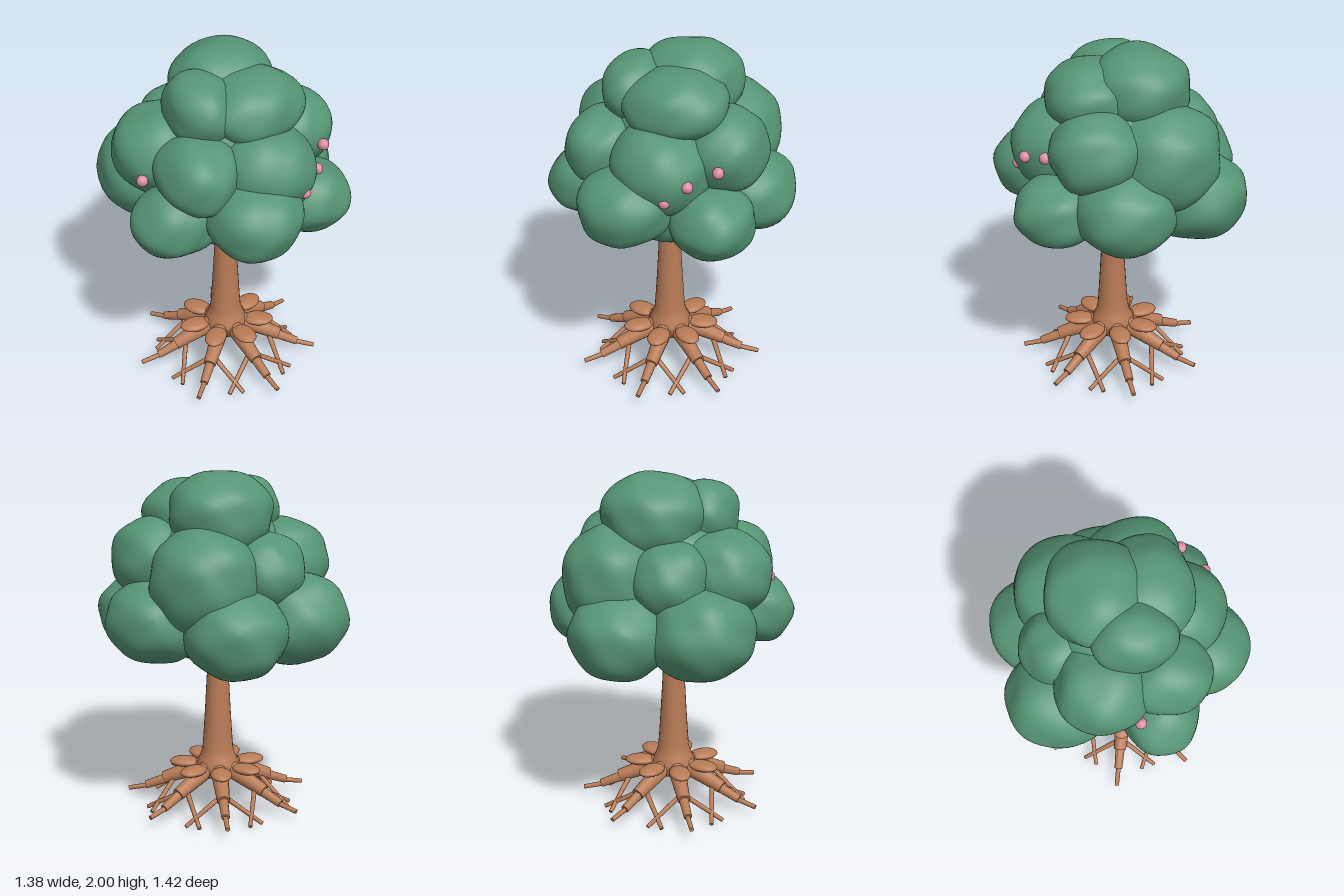
import * as THREE from 'three';
import { mergeVertices } from 'three/addons/utils/BufferGeometryUtils.js';

const leafGreen = new THREE.MeshStandardMaterial({ name: 'leafGreen', color: 0x569575 });
const barkBrown = new THREE.MeshStandardMaterial({ name: 'barkBrown', color: 0xb87b56 });
const blossomPink = new THREE.MeshStandardMaterial({ name: 'blossomPink', color: 0xdc8ca4 });

function add(parent, name, geometry, material) {
  const mesh = new THREE.Mesh(geometry, material);
  mesh.name = name;
  parent.add(mesh);
  return mesh;
}

// Tapered rod between two points
function rod(parent, name, from, to, r0, r1, sides = 12) {
  const a = new THREE.Vector3(...from), b = new THREE.Vector3(...to);
  const dir = b.clone().sub(a);
  const mesh = add(parent, name, new THREE.CylinderGeometry(r1, r0, dir.length(), sides), barkBrown);
  mesh.position.copy(a).add(b).multiplyScalar(0.5);
  mesh.quaternion.setFromUnitVectors(new THREE.Vector3(0, 1, 0), dir.normalize());
}

// Lumpy rounded ellipsoid
function clumpGeometry(radii, seed) {
  let geo = new THREE.IcosahedronGeometry(1, 8);
  geo.deleteAttribute('normal');
  geo.deleteAttribute('uv');
  geo = mergeVertices(geo, 1e-4);
  const pos = geo.attributes.position, v = new THREE.Vector3();
  for (let i = 0; i < pos.count; i++) {
    v.fromBufferAttribute(pos, i);
    const boxy = Math.pow(Math.abs(v.x) ** 2.1 + Math.abs(v.y) ** 2.1 + Math.abs(v.z) ** 2.1, -1 / 2.1);
    const lumps = 0.018 * Math.sin(3.1 * v.x + 2 * v.y + seed * 1.7)
      + 0.018 * Math.sin(4.6 * v.z - 3.3 * v.x + seed * 2.9)
      + 0.018 * Math.sin(6.2 * v.y + 4 * v.z + seed * 4.1)
      + 0.014 * Math.sin(7.5 * v.x - 5 * v.y + seed * 5.3);
    v.multiplyScalar(boxy * (0.99 + lumps));
    pos.setXYZ(i, v.x * radii[0], v.y * radii[1], v.z * radii[2]);
  }
  geo.computeVertexNormals();
  return geo;
}

export function createModel() {
  const tree = new THREE.Group();
  tree.name = 'tree';

  // Trunk, branches and roots share one axis
  const wood = new THREE.Group();
  wood.name = 'wood';
  wood.position.set(-0.025, 0, 0.035);
  tree.add(wood);

  const profile = [[0, 0.18], [0.13, 0.2], [0.125, 0.26], [0.105, 0.3], [0.09, 0.35], [0.083, 0.45],
    [0.074, 0.6], [0.066, 0.75], [0.06, 0.88], [0.055, 1.15], [0, 1.15]]
    .map(p => new THREE.Vector2(...p));
  add(wood, 'trunk', new THREE.LatheGeometry(profile, 24), barkBrown);

  for (let i = 0; i < 4; i++) {
    const a = i * Math.PI / 2, c = Math.cos(a), s = Math.sin(a);
    rod(wood, 'branch', [c * 0.02, 0.85, s * 0.02], [c * 0.15, 1.1, s * 0.15], 0.046, 0.036);
  }

  // Seven roots, the first one pointing forward
  for (let i = 0; i < 7; i++) {
    const root = new THREE.Group();
    root.name = 'root';
    root.rotation.y = -Math.PI / 2 + i * Math.PI * 2 / 7;
    wood.add(root);
    // Flat knuckle over the root, then three shrinking lengths
    const knuckle = add(root, 'rootKnuckle', new THREE.SphereGeometry(1, 20, 12), barkBrown);
    knuckle.scale.set(0.09, 0.028, 0.062);
    knuckle.position.set(0.195, 0.252, 0);
    rod(root, 'rootBase', [0.05, 0.25, 0], [0.32, 0.142, 0], 0.055, 0.037);
    rod(root, 'rootMiddle', [0.28, 0.15, 0], [0.43, 0.09, 0], 0.03, 0.024);
    rod(root, 'rootTip', [0.4, 0.092, 0], [0.535, 0.064, 0], 0.015, 0.013);
    // Side rootlets reaching the ground and crossing their neighbours
    for (const side of [-1, 1]) {
      rod(root, 'rootlet', [0.26, 0.145, side * 0.01], [0.36, 0.012, side * 0.22], 0.015, 0.012, 8);
    }
  }

  // Foliage clumps: centre, radii
  const clumps = [
    [[-0.2, 1.75, 0.05], [0.19, 0.2, 0.23]],
    [[0.05, 1.77, -0.11], [0.29, 0.235, 0.28]],
    [[0.06, 1.735, 0.15], [0.29, 0.2, 0.26]],
    [[0.03, 1.44, 0.32], [0.28, 0.25, 0.27]],
    [[-0.32, 1.46, 0.21], [0.23, 0.22, 0.25]],
    [[-0.35, 1.48, -0.13], [0.26, 0.24, 0.26]],
    [[0.33, 1.51, 0.125], [0.23, 0.23, 0.255]],
    [[0.23, 1.45, -0.24], [0.3, 0.29, 0.31]],
    [[-0.1, 1.47, -0.31], [0.22, 0.22, 0.24]],
    [[-0.12, 1.25, 0.44], [0.26, 0.22, 0.27]],
    [[-0.45, 1.2, 0.17], [0.24, 0.2, 0.22]],
    [[-0.28, 1.2, -0.36], [0.3, 0.26, 0.3]],
    [[0.15, 1.18, -0.42], [0.28, 0.25, 0.29]],
    [[0.42, 1.2, -0.035], [0.26, 0.23, 0.285]],
    [[0.32, 1.17, 0.33], [0.24, 0.2, 0.24]],
    [[0, 1.2, 0.04], [0.42, 0.29, 0.42]],
    [[0, 1.5, 0], [0.38, 0.32, 0.38]],
  ];
  clumps.forEach(([centre, radii], i) => {
    add(tree, 'foliageClump', clumpGeometry(radii, i + 1), leafGreen).position.set(...centre);
  });

  // Blossoms
  for (const p of [[0.375, 1.5, 0.39], [0.245, 1.45, 0.505], [0.135, 1.362, 0.55], [-0.567, 1.425, 0.045]]) {
    add(tree, 'blossom', new THREE.SphereGeometry(0.032, 16, 12), blossomPink).position.set(...p);
  }
  return tree;
}
